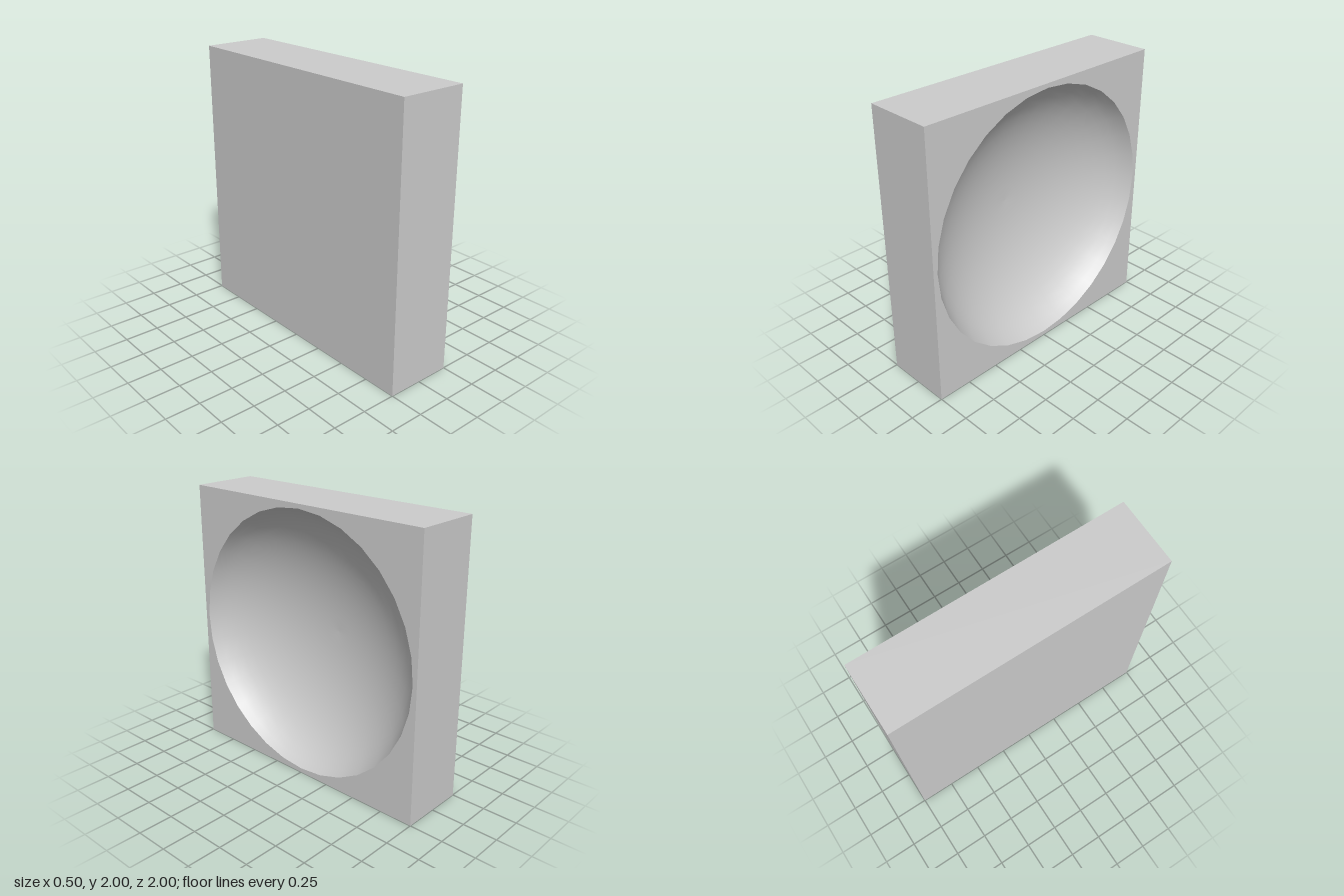
import * as THREE from 'three';

const HALF = 0.25;        // half the block thickness
const SEGMENTS = 32;      // sides of the dish rim
const DEPTH_AXIS = 0.55;  // semi-axis of the hollow ellipsoid along x
const CUT = Math.acos(0.25); // angle from the deepest point to the rim
const RIM = Math.sin(CUT);

export function createModel() {
  const group = new THREE.Group();
  const material = new THREE.MeshStandardMaterial({ color: 0xcccccc });
  const add = (name, geometry) => {
    const mesh = new THREE.Mesh(geometry, material);
    mesh.name = name;
    mesh.position.y = 1;
    group.add(mesh);
    return mesh;
  };

  // Block: five sides, leaving out the +x face that holds the dish
  const block = new THREE.BoxGeometry(2 * HALF, 2, 2);
  block.setIndex(Array.from(block.index.array).slice(6));
  block.clearGroups();
  add('block', block);

  // Face plate: square with a round opening
  const square = new THREE.Shape([[-1, -1], [1, -1], [1, 1], [-1, 1]].map(([x, y]) => new THREE.Vector2(x, y)));
  const opening = [];
  for (let i = 0; i < SEGMENTS; i++) {
    const a = (i / SEGMENTS) * Math.PI * 2;
    opening.push(new THREE.Vector2(RIM * Math.cos(a), RIM * Math.sin(a)));
  }
  square.holes.push(new THREE.Path(opening));
  const plate = new THREE.ShapeGeometry(square);
  plate.rotateY(Math.PI / 2);
  plate.translate(HALF, 0, 0);
  add('facePlate', plate);

  // Dish: smooth elliptical hollow, profile runs from the rim to the deepest point
  const profile = [];
  const rings = 12;
  for (let i = 0; i <= rings; i++) {
    const a = CUT * (1 - i / rings);
    profile.push(new THREE.Vector2(Math.sin(a), HALF + DEPTH_AXIS * (Math.cos(CUT) - Math.cos(a))));
  }
  const dish = new THREE.LatheGeometry(profile, SEGMENTS);
  dish.rotateZ(-Math.PI / 2);
  add('dish', dish);

  return group;
}
